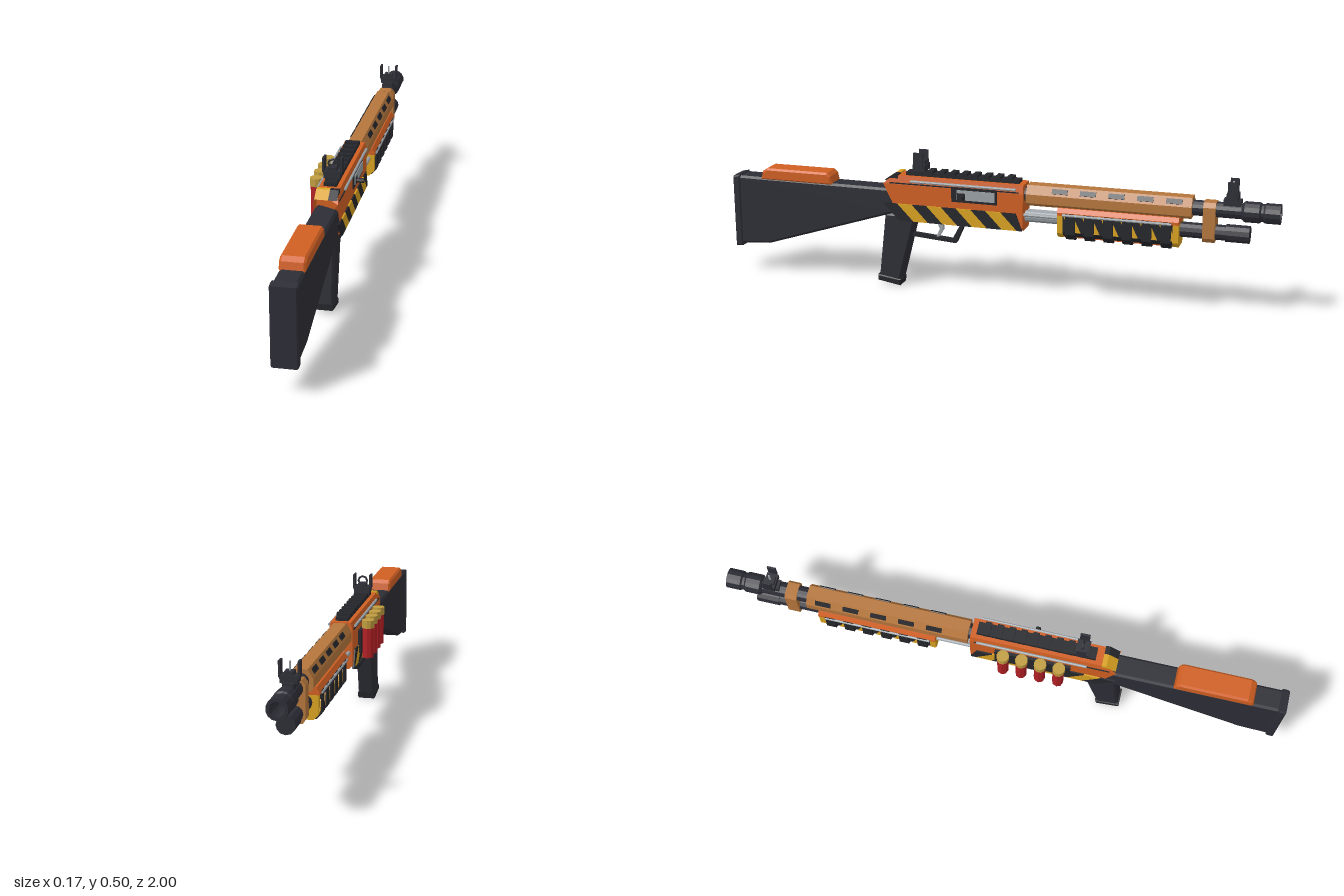
import * as THREE from 'three';

const paint = (name, color) => {
  const m = new THREE.MeshStandardMaterial({ color });
  m.name = name;
  return m;
};

export function createModel() {
  const dark = paint('charcoal', 0x2d2d36);
  const black = paint('black', 0x25262b);
  const orange = paint('orange', 0xd05f22);
  const tan = paint('tan', 0xb5763c);
  const yellow = paint('yellow', 0xd9a221);
  const red = paint('red', 0xb02024);
  const brass = paint('brass', 0xc09c40);
  const steel = paint('steel', 0x9aa1a6);

  const model = new THREE.Group();
  model.name = 'shotgun';
  const gun = new THREE.Group();
  gun.name = 'gun';
  gun.position.x = 0.009; // side fittings make the gun sit slightly off centre
  model.add(gun);

  const add = (name, mat, geo, x = 0, y = 0, z = 0) => {
    const g = geo.index ? geo.toNonIndexed() : geo;
    g.computeVertexNormals(); // faceted
    const mesh = new THREE.Mesh(g, mat);
    mesh.name = name;
    mesh.position.set(x, y, z);
    gun.add(mesh);
    return mesh;
  };
  const box = (name, mat, w, h, d, x, y, z) => add(name, mat, new THREE.BoxGeometry(w, h, d), x, y, z);
  // cylinder along z from z0 to z1
  const rod = (name, mat, r, z0, z1, x, y, sides = 12) =>
    add(name, mat, new THREE.CylinderGeometry(r, r, Math.abs(z1 - z0), sides).rotateX(Math.PI / 2), x, y, (z0 + z1) / 2);
  const outline = (pts) => new THREE.Shape(pts.map(([a, b]) => new THREE.Vector2(a, b)));
  // side outline of [z, y] points given a width in x
  const side = (name, mat, pts, width, bevel = 0, x = 0) => {
    const depth = width - 2 * bevel;
    const geo = new THREE.ExtrudeGeometry(outline(pts), {
      depth, bevelEnabled: bevel > 0, bevelSize: bevel, bevelOffset: -bevel, bevelThickness: bevel, bevelSegments: 1,
    });
    return add(name, mat, geo.translate(0, 0, -depth / 2).rotateY(-Math.PI / 2), x);
  };
  // mirrored half section of [x, y] points, bottom to top, extended from z0 to z1
  const section = (half, z0, z1) => {
    const all = [...half, ...half.map(([x, y]) => [-x, y]).reverse()];
    return new THREE.ExtrudeGeometry(outline(all), { depth: z1 - z0, bevelEnabled: false }).translate(0, 0, z0);
  };

  // Stock
  side('stock', dark, [[0.98, 0.108], [0.866, 0.116], [0.37, 0.275], [0.37, 0.365], [0.98, 0.368]], 0.08, 0.008);
  side('buttPlate', dark, [[1, 0.097], [0.972, 0.1], [0.972, 0.372], [1, 0.366]], 0.088, 0.005);
  side('cheekPad', orange, [[0.887, 0.36], [0.605, 0.36], [0.612, 0.392], [0.625, 0.404], [0.862, 0.404], [0.88, 0.392]], 0.084, 0.007);

  // Grip
  side('grip', dark, [[0.405, 0.27], [0.432, 0.03], [0.352, 0.016], [0.288, 0.27]], 0.062, 0.008);
  side('gripCap', black, [[0.437, 0.036], [0.437, 0.014], [0.352, 0], [0.348, 0.024]], 0.066, 0.004);

  // Receiver with its lower rear corner cut away
  const body = section([[0.03, 0.25], [0.042, 0.262], [0.042, 0.385], [0.036, 0.416]], -0.115, 0.405);
  const p = body.attributes.position;
  for (let i = 0; i < p.count; i++) {
    if (p.getZ(i) < 0.4) continue;
    const y = p.getY(i);
    if (y < 0.3) p.setZ(i, 0.345);
    if (y > 0.4) p.setZ(i, 0.37);
  }
  add('receiver', orange, body);
  side('rearCapYellow', yellow, [[0.401, 0.397], [0.366, 0.421], [0.35, 0.421], [0.35, 0.397]], 0.046, 0, -0.015);
  side('rearCapBlack', black, [[0.401, 0.397], [0.366, 0.421], [0.35, 0.421], [0.35, 0.397]], 0.03, 0, 0.023);

  // Slanted hazard stripes, sheared forward toward the bottom
  const stripe = (name, mat, s, x, zTop, w, y0, y1, shear, zMin) => {
    const c = (z) => Math.max(z, zMin);
    side(name, mat, [[c(zTop), y1], [c(zTop - shear), y0], [c(zTop - shear - w), y0], [c(zTop - w), y1]], 0.008, 0, s * x);
  };
  for (const s of [-1, 1]) {
    for (let i = 0; i < 9; i++) {
      stripe('receiverStripe', i % 2 ? yellow : black, s, 0.043, 0.405 - i * 0.055, 0.055, 0.252, 0.314, 0.06, -0.113);
    }
    rod('receiverRod', steel, 0.005, -0.09, 0.3, s * 0.046, 0.4, 8);
    box('receiverSeam', black, 0.004, 0.004, 0.48, s * 0.042, 0.389, 0.14);
  }

  // Ejection port and bolt
  box('portFrame', black, 0.006, 0.054, 0.168, 0.042, 0.365, 0.063);
  box('portCover', steel, 0.006, 0.036, 0.14, 0.0445, 0.365, 0.057);
  box('boltBlock', black, 0.008, 0.024, 0.03, 0.045, 0.36, 0.11);
  add('boltHandle', black, new THREE.CylinderGeometry(0.009, 0.009, 0.04, 8).rotateZ(Math.PI / 2), 0.054, 0.357, 0.105);
  box('loadingGate', steel, 0.045, 0.006, 0.17, 0, 0.249, 0);

  // Trigger and guard
  side('guardBottom', black, [[0.315, 0.2], [0.315, 0.188], [0.142, 0.175], [0.15, 0.187]], 0.024);
  side('guardFront', black, [[0.157, 0.187], [0.142, 0.175], [0.108, 0.252], [0.122, 0.252]], 0.024);
  side('trigger', steel, [[0.218, 0.252], [0.205, 0.222], [0.218, 0.192], [0.208, 0.192], [0.19, 0.222], [0.195, 0.252]], 0.012);

  // Top rail
  box('railBase', black, 0.044, 0.016, 0.42, 0, 0.42, 0.115);
  for (let i = 0; i < 9; i++) box('railTooth', black, 0.05, 0.014, 0.022, 0, 0.43, -0.06 + i * 0.042);

  // Sights: block, two wings and an aiming piece
  const sight = (name, y, z, d) => {
    box(name + 'Base', dark, 0.056, 0.024, d, 0, y + 0.012, z);
    box(name + 'Stem', dark, 0.03, 0.022, d * 0.8, 0, y + 0.025, z);
    for (const s of [-1, 1]) {
      box(name + 'Wing', dark, 0.007, 0.05, d * 0.75, s * 0.03, y + 0.043, z);
      box(name + 'Foot', dark, 0.012, 0.012, d * 0.75, s * 0.025, y + 0.018, z);
    }
  };
  sight('rearSight', 0.434, 0.275, 0.046);
  add('rearSightRing', dark, new THREE.TorusGeometry(0.016, 0.004, 5, 8), 0, 0.478, 0.275);
  sight('frontSight', 0.414, -0.838, 0.04);
  box('frontSightPost', steel, 0.005, 0.035, 0.006, 0, 0.462, -0.838);

  // Barrel with an open muzzle
  const bore = [[0.027, 0.05], [0.027, 0.87], [0.036, 0.88], [0.036, 0.93], [0.031, 0.936], [0.031, 0.944],
    [0.035, 0.95], [0.035, 1], [0.024, 1], [0.022, 0.9], [0, 0.9]];
  add('barrel', dark, new THREE.LatheGeometry(bore.map(([r, z]) => new THREE.Vector2(r, z)), 14).rotateX(-Math.PI / 2), 0, 0.377, 0);
  box('frontSightBlock', dark, 0.036, 0.024, 0.06, 0, 0.405, -0.838);

  // Magazine tube
  rod('tubeInner', steel, 0.021, -0.26, -0.1, 0, 0.297);
  rod('magazineTube', dark, 0.027, -0.87, -0.6, 0, 0.297);
  rod('magazineCap', dark, 0.031, -0.9, -0.82, 0, 0.297);
  for (const s of [-1, 1]) rod('actionBar', steel, 0.007, -0.26, -0.1, s * 0.028, 0.308, 8);

  // Clamp joining barrel and tube
  add('clamp', tan, section([[0.024, 0.265], [0.034, 0.28], [0.034, 0.388], [0.022, 0.404]], -0.785, -0.743));

  // Heat shield with vents on its sloped shoulders
  add('heatShield', tan, section([[0.032, 0.345], [0.04, 0.355], [0.04, 0.386], [0.022, 0.416]], -0.705, -0.125));
  for (const s of [-1, 1]) {
    for (let i = 0; i < 5; i++) {
      const vent = box('vent', black, 0.006, 0.018, 0.056, s * 0.031, 0.401, -0.245 - i * 0.1);
      vent.rotation.z = s * 0.54;
    }
  }

  // Pump
  add('pumpCore', black, section([[0.03, 0.244], [0.046, 0.262], [0.046, 0.326]], -0.655, -0.25));
  add('pumpTop', orange, section([[0.05, 0.322], [0.05, 0.332], [0.04, 0.347]], -0.665, -0.24));
  for (const [z0, z1] of [[-0.665, -0.645], [-0.26, -0.24]]) {
    add('pumpEnd', yellow, section([[0.03, 0.24], [0.047, 0.258], [0.047, 0.322]], z0, z1));
  }
  box('pumpKeel', orange, 0.05, 0.008, 0.42, 0, 0.243, -0.452);
  for (let i = 0; i < 6; i++) {
    add('pumpRib', black, section([[0.034, 0.235], [0.053, 0.256], [0.053, 0.33]], -0.305 - i * 0.067, -0.27 - i * 0.067));
  }
  for (const s of [-1, 1]) {
    for (let i = 0; i < 6; i++) {
      stripe('pumpStripe', yellow, s, 0.0445, -0.262 - i * 0.067, 0.035, 0.264, 0.322, 0.028, -0.655);
    }
    rod('pumpRod', steel, 0.005, -0.64, -0.26, s * 0.052, 0.325, 8);
  }

  // Spare shells on a side carrier
  box('shellCarrier', black, 0.014, 0.08, 0.27, -0.046, 0.325, 0.11);
  for (let i = 0; i < 4; i++) {
    const z = 0.01 + i * 0.066;
    add('shellCase', red, new THREE.CylinderGeometry(0.02, 0.02, 0.112, 8), -0.072, 0.318, z);
    add('shellHead', brass, new THREE.CylinderGeometry(0.022, 0.022, 0.028, 10), -0.072, 0.384, z);
  }
  return model;
}
